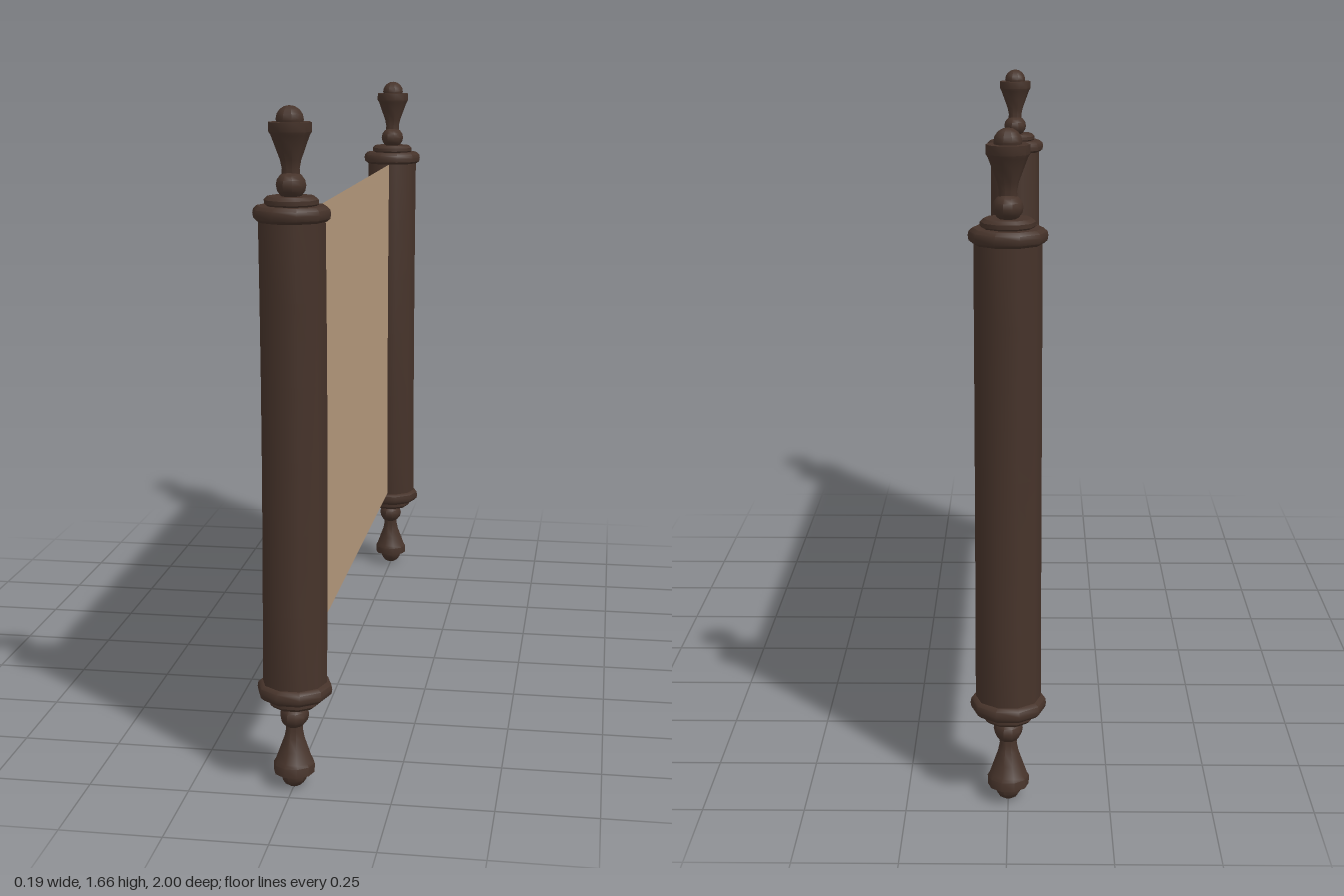
import * as THREE from 'three';
import { toCreasedNormals } from 'three/addons/utils/BufferGeometryUtils.js';

const HEIGHT = 1.66, MID = HEIGHT / 2, SIDES = 10;
const wood = new THREE.MeshStandardMaterial({ color: 0x46332a });
const paper = new THREE.MeshStandardMaterial({ color: 0xb89c7e, side: THREE.DoubleSide });

// The rods bow towards each other at mid height
const rodZ = (y) => 0.894 + 0.034 * ((y - MID) / MID) ** 2;

// Turned part: [radius, y] profile from bottom to top, bent along the rod
function turned(name, profile, side, depth = 1) {
  const pts = profile.map(([r, y]) => new THREE.Vector2(r, y));
  const geo = new THREE.LatheGeometry(pts, SIDES, Math.PI / 2);
  const p = geo.attributes.position;
  for (let i = 0; i < p.count; i++) {
    p.setZ(i, p.getZ(i) * depth + side * rodZ(p.getY(i)));
  }
  const mesh = new THREE.Mesh(toCreasedNormals(geo, 0.72), wood);
  mesh.name = name;
  return mesh;
}

// Profile of a ball, optionally squashed in height
function ball(radius, centre, halfHeight, steps = 8) {
  return Array.from({ length: steps + 1 }, (_, i) => {
    const a = (i / steps) * Math.PI;
    const r = i % steps === 0 ? 0 : radius * Math.sin(a);
    return [r, centre - halfHeight * Math.cos(a)];
  });
}

// Upper end of a rod; the lower end is its mirror image
const endParts = [
  ['collar', [[0, 1.393], [0.082, 1.393], [0.091, 1.4], [0.093, 1.412], [0.091, 1.422], [0.082, 1.43], [0, 1.43]]],
  ['ring', [[0, 1.428], [0.058, 1.428], [0.065, 1.434], [0.065, 1.444], [0.056, 1.452], [0, 1.452]]],
  ['bead', ball(0.036, 1.477, 0.033), 1.36],
  ['handle', [[0, 1.495], [0.022, 1.495], [0.021, 1.515], [0.025, 1.535], [0.036, 1.565], [0.046, 1.592],
    [0.051, 1.6], [0.051, 1.622], [0, 1.622]]],
  ['knob', ball(0.033, 1.628, 0.032)],
];

function rod(side) {
  const group = new THREE.Group();
  group.name = side > 0 ? 'frontRod' : 'backRod';

  // Shaft in straight segments that follow the bow
  const shaft = [0.26, 0.45, 0.65, MID, 1.01, 1.21, 1.4].map((y) => [0.08, y]);
  group.add(turned('shaft', shaft, side));

  for (const [name, profile, depth] of endParts) {
    const lower = profile.map(([r, y]) => [r, HEIGHT - y]).reverse();
    group.add(turned(name + 'Top', profile, side, depth));
    group.add(turned(name + 'Bottom', lower, side, depth));
  }
  return group;
}

export function createModel() {
  const model = new THREE.Group();
  model.name = 'scroll';
  model.add(rod(1), rod(-1));

  // Sheet stretched between the rods
  const sheet = new THREE.Mesh(new THREE.PlaneGeometry(1.7, 1.12), paper);
  sheet.name = 'sheet';
  sheet.rotation.y = Math.PI / 2;
  sheet.position.y = 0.833;
  model.add(sheet);
  return model;
}
